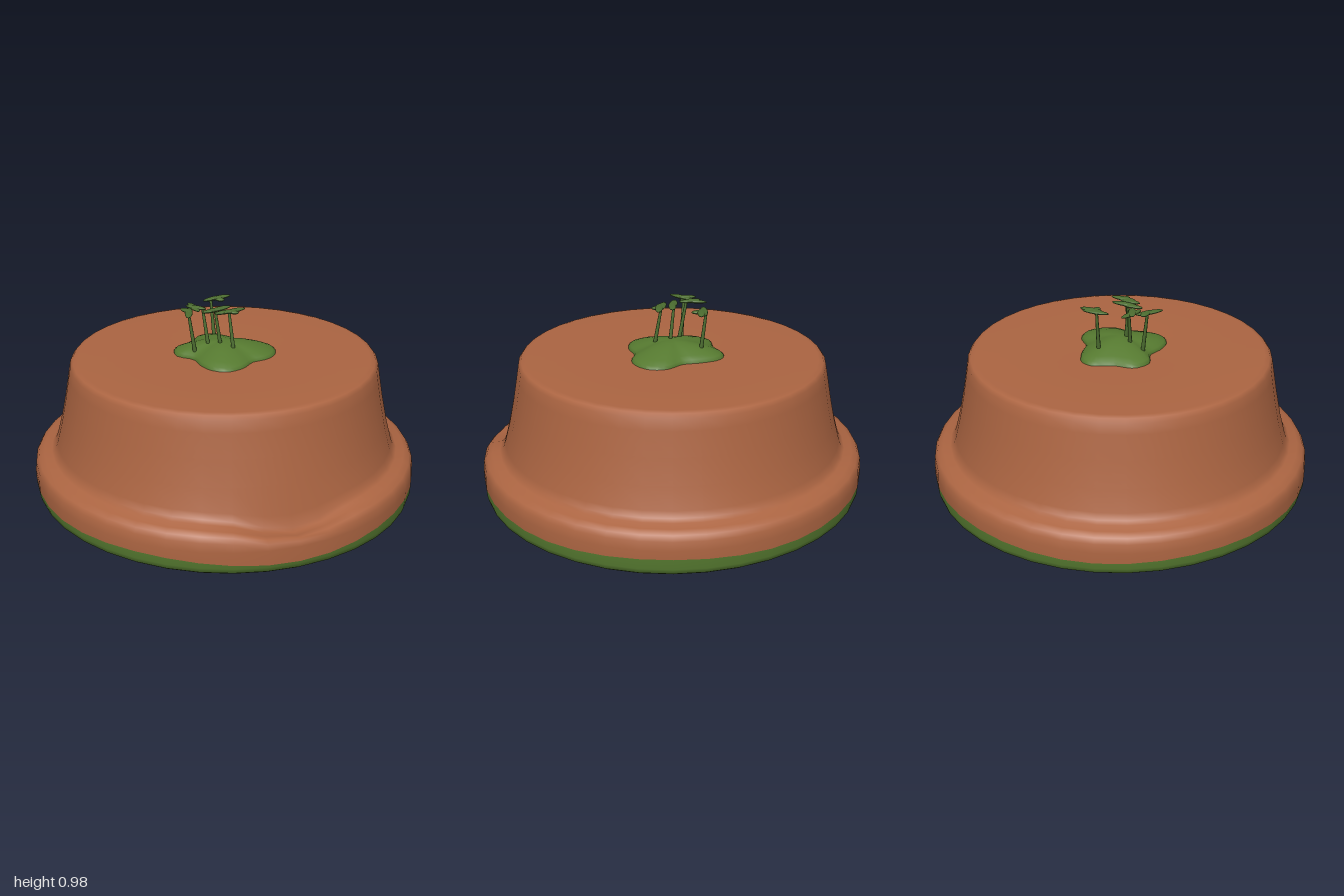
import * as THREE from 'three';
import { mergeVertices } from 'three/addons/utils/BufferGeometryUtils.js';

const material = (name, color) => Object.assign(new THREE.MeshStandardMaterial({ color }), { name });

// Lathe a profile, move its vertices by a rule, and smooth it without a seam.
function shapedLathe(profile, segments, rule) {
  const geo = new THREE.LatheGeometry(profile.map(p => new THREE.Vector2(...p)), segments);
  const pos = geo.attributes.position;
  const v = new THREE.Vector3();
  for (let i = 0; i < pos.count; i++) {
    v.fromBufferAttribute(pos, i);
    rule(v, Math.floor(i / profile.length), i % profile.length);
    pos.setXYZ(i, v.x, v.y, v.z);
  }
  geo.deleteAttribute('normal');
  geo.deleteAttribute('uv');
  const merged = mergeVertices(geo, 1e-5);
  merged.computeVertexNormals();
  return merged;
}

export function createModel() {
  const group = new THREE.Group();
  const clay = material('red rock', 0xac6542);
  const grass = material('grass green', 0x567a30);
  const leaf = material('leaf green', 0x4c6d30);
  const add = (name, geo, mat, parent = group) => {
    const mesh = new THREE.Mesh(geo, mat);
    mesh.name = name;
    parent.add(mesh);
    return mesh;
  };

  // Notch in the ledge, centred on the front left diagonal
  const notch = (v, halfWidth) => {
    const d = Math.abs(Math.atan2(v.x, v.z) - Math.PI / 4) / halfWidth;
    return d < 1 ? 0.5 + 0.5 * Math.cos(d * Math.PI) : 0;
  };
  const grassLine = v => {
    const a = Math.atan2(v.x, v.z);
    return 0.1 - 0.022 * notch(v, 0.9) + 0.006 * Math.sin(a * 5 + 1);
  };
  const squash = v => { v.z *= 0.985; };

  // Grassy foot with a gently bulging underside
  const foot = [[0, 0.002], [0.5, 0.006], [0.9, 0.014], [0.97, 0.02], [0.99, 0.035], [0.997, 0.06], [1, 0.1]];
  add('grassyFoot', shapedLathe(foot, 40, (v, i, j) => {
    if (j === foot.length - 1) v.y = grassLine(v);
    else if (j > 1) v.y -= 0.005 * v.x - 0.006 * v.z;
    squash(v);
  }), grass);

  // Rock mesa: ledge, flaring wall and rounded flat top
  const mesa = [[1, 0.1], [1, 0.15], [0.995, 0.195], [0.98, 0.22], [0.95, 0.235], [0.91, 0.243], [0.893, 0.258],
    [0.88, 0.29], [0.85, 0.4], [0.822, 0.53], [0.8, 0.65], [0.79, 0.705], [0.775, 0.724], [0.75, 0.73],
    [0.5, 0.732], [0.25, 0.728], [0, 0.728]];
  add('rockMesa', shapedLathe(mesa, 40, (v, i, j) => {
    const n = notch(v, 0.42);
    if (j === 0) v.y = grassLine(v);
    else if (j >= 2 && j <= 6) v.y -= n * [0.02, 0.035, 0.055, 0.07, 0.07][j - 2];
    else if (j === 7) v.y -= n * 0.04;
    else if (j > 10) v.y += 0.006 * v.x;
    squash(v);
  }), clay);

  // Lumpy grass mound, its outline given as x, z pairs
  const outline = [[-0.22, -0.15], [-0.17, -0.2], [-0.05, -0.195], [0.03, -0.175], [0.13, -0.2], [0.21, -0.17],
    [0.25, -0.09], [0.24, -0.01], [0.19, 0.06], [0.18, 0.15], [0.13, 0.23], [0.05, 0.245], [-0.03, 0.21],
    [-0.1, 0.15], [-0.2, 0.14], [-0.255, 0.06], [-0.225, -0.03], [-0.22, -0.08]];
  const edge = new THREE.CatmullRomCurve3(
    outline.reverse().map(([x, z]) => new THREE.Vector3(x, 0, z)), true).getPoints(48);
  const mound = [[1, 0.715], [0.99, 0.733], [0.94, 0.745], [0.8, 0.76], [0.5, 0.784], [0.25, 0.796], [0, 0.8]];
  add('grassMound', shapedLathe(mound, 48, (v, i, j) => {
    v.x = edge[i].x * mound[j][0];
    v.z = edge[i].z * mound[j][0];
  }), grass);

  // Leaning trees; each leaf is a flat lobe running between two x, z points
  const trees = [
    { base: [-0.105, -0.11], top: [-0.13, -0.12], leaves: [[-0.145, -0.06, -0.08, -0.19], [-0.12, -0.09, -0.055, -0.2], [-0.11, -0.13, -0.05, -0.11]] },
    { base: [-0.11, 0.11], top: [-0.135, 0.13], leaves: [[-0.16, 0.07, -0.095, 0.21], [-0.19, 0.1, -0.11, 0.14]] },
    { base: [-0.06, 0.05], top: [-0.1, 0.04], leaves: [[-0.2, 0, -0.09, 0.1], [-0.19, 0.05, -0.07, 0.06]] },
    { base: [0, 0.03], top: [-0.03, 0.04], leaves: [[-0.07, 0.11, 0, 0], [-0.04, 0.08, 0.02, -0.04]] },
    { base: [0.08, 0.05], top: [0.045, 0.035], leaves: [[-0.005, 0.1, 0.07, 0], [0.03, 0.08, 0.1, -0.04], [0.03, 0.03, 0.1, 0.04]] },
  ];
  const up = new THREE.Vector3(0, 1, 0);
  const lobe = new THREE.SphereGeometry(1, 12, 8);
  for (const { base, top, leaves } of trees) {
    const tree = new THREE.Group();
    tree.name = 'tree';
    group.add(tree);
    const a = new THREE.Vector3(base[0], 0.755, base[1]);
    const b = new THREE.Vector3(top[0], 0.97, top[1]);
    const dir = b.clone().sub(a);
    const trunk = add('trunk', new THREE.CylinderGeometry(0.007, 0.011, dir.length(), 8), leaf, tree);
    trunk.position.copy(a).add(b).multiplyScalar(0.5);
    trunk.quaternion.setFromUnitVectors(up, dir.normalize());
    leaves.forEach(([x0, z0, x1, z1], k) => {
      const m = add('leaf', lobe, leaf, tree);
      m.position.set((x0 + x1) / 2, 0.97 + 0.003 * (k % 2), (z0 + z1) / 2);
      m.scale.set(Math.hypot(x1 - x0, z1 - z0) / 2, 0.009, 0.02);
      m.rotation.y = -Math.atan2(z1 - z0, x1 - x0);
    });
  }
  return group;
}
